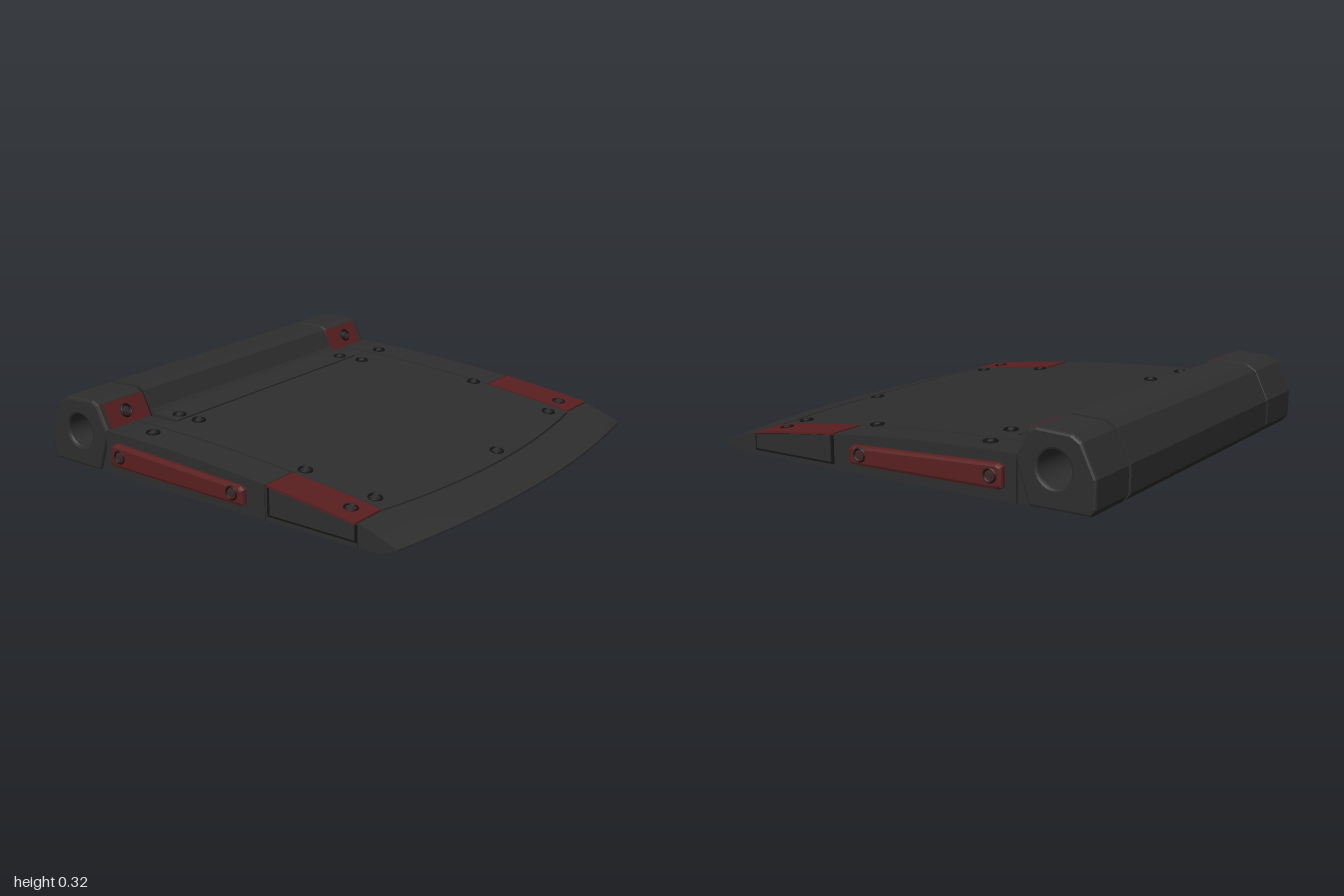
import * as THREE from 'three';

export function createModel() {
  const model = new THREE.Group();
  model.name = 'hingedPlate';
  const mat = (name, color) => {
    const m = new THREE.MeshStandardMaterial({ color });
    m.name = name;
    return m;
  };
  const gray = mat('charcoal', 0x2e2e2e);
  const red = mat('darkRed', 0x5a1f1f);
  const dark = mat('seamBlack', 0x141414);

  const add = (name, geometry, material, parent = model) => {
    const mesh = new THREE.Mesh(geometry, material);
    mesh.name = name;
    parent.add(mesh);
    return mesh;
  };

  // Arched upper surface and the bowed front edges
  const top = (z) => 0.2 - 0.054 * (z + 0.64) ** 2;
  const raise = (d) => (z) => top(z) + d;
  const bow = (z, drop, half) => (x) => z - drop * (x / half) ** 2;
  const val = (f, ...a) => (typeof f === 'function' ? f(...a) : f);
  const lerp = THREE.MathUtils.lerp;

  // Box bent between back/front edges (functions of x) and low/high surfaces (of z, x)
  function slab(x0, x1, back, front, low, high) {
    const g = new THREE.BoxGeometry(1, 1, 1, 12, 1, 16);
    const p = g.attributes.position;
    const [a, b] = [Math.min(x0, x1), Math.max(x0, x1)];
    for (let i = 0; i < p.count; i++) {
      const x = lerp(a, b, p.getX(i) + 0.5);
      const z = lerp(val(back, x), val(front, x), p.getZ(i) + 0.5);
      const y = lerp(val(low, z, x), val(high, z, x), p.getY(i) + 0.5);
      p.setXYZ(i, x, y, z);
    }
    g.computeVertexNormals();
    return g;
  }

  // Side profile of [z, y] points pushed along x, with softened ends
  function sideExtrude(points, x0, x1, bevel, hole) {
    const shape = new THREE.Shape(points.map(([z, y]) => new THREE.Vector2(-z, y)));
    if (hole) {
      const path = new THREE.Path();
      path.absarc(-hole.z, hole.y, hole.r, 0, Math.PI * 2, true);
      shape.holes.push(path);
    }
    const g = new THREE.ExtrudeGeometry(shape, {
      depth: x1 - x0 - 2 * bevel, bevelEnabled: bevel > 0, bevelThickness: bevel,
      bevelSize: bevel, bevelOffset: -bevel, bevelSegments: 2, curveSegments: 24,
    });
    g.rotateY(Math.PI / 2);
    g.translate(x0 + bevel, 0, 0);
    return g;
  }

  // Bolt whose axis follows the given normal
  const ringGeo = new THREE.TorusGeometry(0.027, 0.006, 6, 20).rotateX(Math.PI / 2);
  const headGeo = new THREE.CylinderGeometry(0.014, 0.016, 0.012, 6);
  function bolt(x, y, z, normal) {
    const g = new THREE.Group();
    g.name = 'bolt';
    add('boltRing', ringGeo, dark, g);
    add('boltHead', headGeo, gray, g);
    g.position.set(x, y, z);
    g.quaternion.setFromUnitVectors(new THREE.Vector3(0, 1, 0), normal.clone().normalize());
    model.add(g);
  }

  // Core and the dark layer seen in the seams
  add('core', slab(-0.94, 0.94, -0.7, bow(0.83, 0.07, 0.9), 0, raise(-0.03)), gray);
  add('seamLayer', slab(-0.935, 0.935, -0.66, bow(0.83, 0.07, 0.9), raise(-0.035), raise(-0.014)), dark);

  // Main panel
  add('mainPanel', slab(-0.77, 0.77, -0.482, bow(0.79, 0.07, 0.77), raise(-0.03), top), gray);

  // Front lip tapering to an edge
  const lipBack = (x) => Math.max(0.727, 0.8 - 0.07 * (x / 0.77) ** 2);
  const lipFront = bow(1, 0.09, 0.945);
  const lipLow = (z, x) => 0.03 * Math.max(0, (z - lipFront(x) + 0.08) / 0.08);
  const lipHigh = (z, x) => {
    const b = lipBack(x);
    const t = THREE.MathUtils.clamp((z - b) / (lipFront(x) - b), 0, 1);
    return lerp(top(b), 0.038, t ** 1.2);
  };
  add('frontLip', slab(-0.945, 0.945, lipBack, lipFront, lipLow, lipHigh), gray);

  // Hinge barrel with its apron
  const hole = { z: -0.815, y: 0.165, r: 0.075 };
  const barrelBack = [[-0.70, 0], [-0.975, 0], [-0.998, 0.03], [-1, 0.15], [-0.935, 0.285],
    [-0.89, 0.312], [-0.73, 0.32], [-0.695, 0.305]];
  add('hingeBarrel', sideExtrude([...barrelBack, [-0.65, 0.222], [-0.635, 0.206], [-0.61, 0.203],
    [-0.492, 0.201], [-0.492, 0.12], [-0.6, 0.04]], -0.664, 0.679, 0, hole), gray);
  add('hingeSeam', sideExtrude([[-0.71, 0.01], [-0.97, 0.01], [-0.985, 0.03], [-0.985, 0.15],
    [-0.925, 0.275], [-0.88, 0.3], [-0.73, 0.308], [-0.705, 0.297], [-0.65, 0.19]],
  -0.7, 0.7, 0, hole), dark);

  const slopeNormal = new THREE.Vector3(0, 0.43, 0.902);
  for (const s of [-1, 1]) {
    const span = (a, b) => (s > 0 ? [a, b] : [-b, -a]);

    // Hinge end caps with red face plates
    add('hingeCap', sideExtrude([...barrelBack, [-0.637, 0.19]],
      ...span(s > 0 ? 0.689 : 0.674, 0.955), 0.012, hole), gray);
    const plate = add('hingePlate', new THREE.BoxGeometry(0.24, 0.009, 0.118), red);
    plate.position.set(s * 0.805, 0.25, -0.6655);
    plate.quaternion.setFromUnitVectors(new THREE.Vector3(0, 1, 0), slopeNormal);
    bolt(s * 0.815, 0.255, -0.659, slopeNormal);

    // Side rails and corner blocks
    add('rearStrip', slab(s * 0.69, s * 0.77, -0.645, -0.482, raise(-0.03), top), gray);
    add('sideRail', slab(s * 0.782, s * 0.955, -0.645, 0.265, 0, top), gray);
    add('cornerBlock', slab(s * 0.78, s * 0.95, 0.265, 0.727, 0, raise(-0.006)), gray);
    add('cornerPlate', slab(s * 0.778, s * 0.955, 0.273, 0.718, raise(-0.006), raise(0.003)), red);
    add('cornerSeam', slab(s * 0.945, s * 0.952, 0.275, 0.725, 0.02, raise(-0.006)), dark);
    add('cornerCover', slab(s * 0.945, s * 0.956, 0.29, 0.715, 0.03, raise(-0.008)), gray);

    // Red side guards
    add('sideGuard', sideExtrude([[0.17, 0.05], [0.17, 0.115], [0.15, 0.127], [-0.57, 0.157],
      [-0.595, 0.145], [-0.595, 0.06], [-0.57, 0.05], [0.15, 0.043]],
    ...span(0.94, 0.983), 0.014), red);
    for (const [y, z] of [[0.092, 0.11], [0.105, -0.54]]) bolt(s * 0.981, y, z, new THREE.Vector3(s, 0, 0));
  }

  // Bolts over the upper surface
  const spots = [[-0.85, -0.46], [0.84, -0.45], [-0.6, -0.54], [0.61, -0.54], [-0.6, -0.42],
    [0.63, -0.41], [0.75, 0.2], [-0.72, 0.29], [-0.71, 0.64], [0.69, 0.66], [0.09, 0.73],
    [-0.86, 0.63], [0.85, 0.63]];
  for (const [x, z] of spots) {
    bolt(x, top(z) + 0.002, z, new THREE.Vector3(0, 1, 0.108 * (z + 0.64)));
  }
  return model;
}
